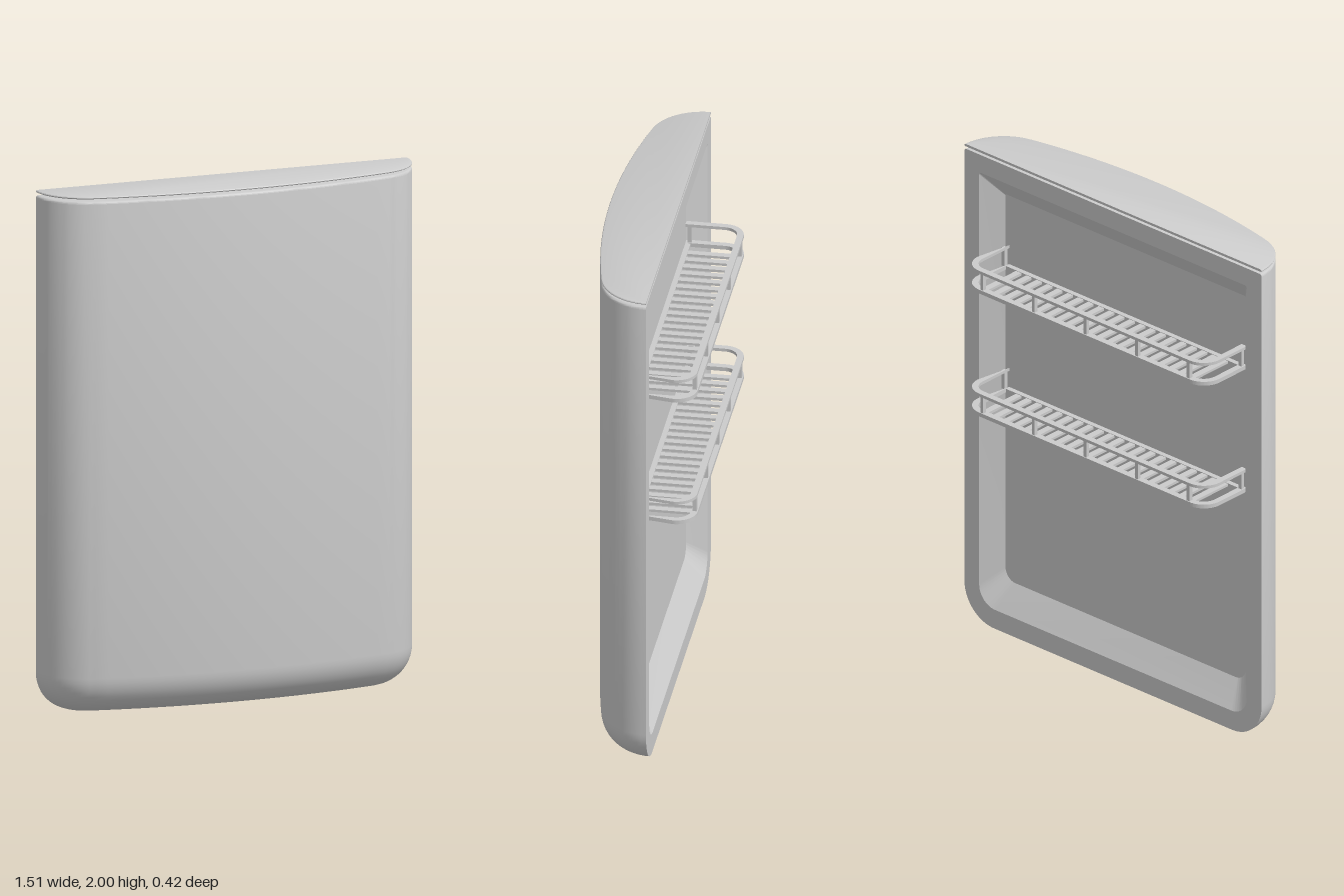
import * as THREE from 'three';
import { toCreasedNormals } from 'three/addons/utils/BufferGeometryUtils.js';

const BACK = -0.05, FLOOR = 0.02, HALF = 0.755;
const grey = new THREE.MeshStandardMaterial({ color: 0xcccccc });

function add(parent, geometry, name, x = 0, y = 0, z = 0) {
  const mesh = new THREE.Mesh(geometry, grey);
  mesh.name = name;
  mesh.position.set(x, y, z);
  parent.add(mesh);
  return mesh;
}

// Skin a list of equal-length point rows; optional closed rows and flat end caps
function loft(rows, closed, caps) {
  const n = rows[0].length, index = [];
  for (let j = 0; j < rows.length - 1; j++) {
    for (let i = 0; i < (closed ? n : n - 1); i++) {
      const a = j * n + i, b = j * n + (i + 1) % n;
      index.push(a, a + n, b, b, a + n, b + n);
    }
  }
  if (caps) {
    const top = (rows.length - 1) * n;
    for (let i = 1; i < n - 1; i++) index.push(0, i, i + 1, top, top + i + 1, top + i);
  }
  const geometry = new THREE.BufferGeometry().setFromPoints(rows.flat());
  geometry.setIndex(index);
  return toCreasedNormals(geometry, 0.5);
}

// Bowed plan outline at height y, inset by d: corner arc, wide front arc, corner arc
function section(y, d) {
  const bow = THREE.MathUtils.degToRad(12.2), R = 2.816, r = 0.2;
  const pts = [];
  const arc = (cx, cz, rad, from, to, steps) => {
    for (let i = 0; i <= steps; i++) {
      const t = from + (to - from) * i / steps;
      pts.push(new THREE.Vector3(cx + rad * Math.cos(t), y, cz + rad * Math.sin(t)));
    }
  };
  const q = Math.PI / 2;
  arc(HALF - r, BACK, r - d, 0, q - bow, 14);
  arc(0, 0.21 - R, R - d, q - bow, q + bow, 24);
  arc(r - HALF, BACK, r - d, q + bow, Math.PI, 14);
  return pts;
}

// Upright panel outline with its own bottom and top corner radii
function panel(x, y0, y1, rb, rt) {
  const s = new THREE.Shape(), q = Math.PI / 2;
  s.absarc(x - rb, y0 + rb, rb, -q, 0, false);
  s.absarc(x - rt, y1 - rt, rt, 0, q, false);
  s.absarc(rt - x, y1 - rt, rt, q, 2 * q, false);
  s.absarc(rb - x, y0 + rb, rb, 2 * q, 3 * q, false);
  s.closePath();
  return s;
}

function makeDoor() {
  const door = new THREE.Group();
  door.name = 'door';

  // Bowed shell with a large bottom fillet and a small top one
  const rows = [];
  for (let i = 0; i <= 12; i++) {
    const t = i / 12 * Math.PI / 2;
    rows.push(section(0.15 * (1 - Math.cos(t)), 0.15 * (1 - Math.sin(t))));
  }
  for (let i = 0; i <= 4; i++) {
    const t = i / 4 * Math.PI / 2;
    rows.push(section(1.97 + 0.01 * Math.sin(t), 0.01 * (1 - Math.cos(t))));
  }
  add(door, loft(rows, false, true), 'outerShell');

  // Back rim around the recess
  const opening = panel(0.68, 0.08, 1.905, 0.08, 0.01);
  const floor = panel(0.61, 0.18, 1.81, 0.05, 0.005);
  const rim = panel(HALF, 0, 1.98, 0.15, 0.01);
  rim.holes.push(opening);
  add(door, new THREE.ShapeGeometry(rim, 12), 'backRim', 0, 0, BACK).rotation.y = Math.PI;

  // Sloping recess walls and inner panel
  const ring = (shape, z) => shape.getPoints(12).map(p => new THREE.Vector3(p.x, p.y, z));
  add(door, loft([ring(opening, BACK), ring(floor, FLOOR)], true, false), 'recessWalls');
  add(door, new THREE.ShapeGeometry(floor, 12), 'innerPanel', 0, 0, FLOOR).rotation.y = Math.PI;

  // Thin cover plate just above the shell
  const lid = [[1.99, 0.005], [1.992, 0.001], [1.995, 0], [1.998, 0.002], [2, 0.007]];
  add(door, loft(lid.map(([y, d]) => section(y, d)), true, true), 'topPlate');
  return door;
}

// U-shaped flat rail whose top is at y = 0
function railGeometry(height) {
  const s = new THREE.Shape(), q = Math.PI / 2, cx = 0.535, cz = -0.13;
  s.moveTo(0.615, FLOOR);
  s.absarc(cx, cz, 0.08, 0, -q, true);
  s.absarc(-cx, cz, 0.08, -q, -2 * q, true);
  s.lineTo(-0.615, FLOOR);
  s.lineTo(-0.59, FLOOR);
  s.absarc(-cx, cz, 0.055, -2 * q, -q, false);
  s.absarc(cx, cz, 0.055, -q, 0, false);
  s.lineTo(0.59, FLOOR);
  s.closePath();
  const g = new THREE.ExtrudeGeometry(s, { depth: height, bevelEnabled: false, curveSegments: 10 });
  return toCreasedNormals(g.rotateX(q), 0.5);
}

function makeRack(y) {
  const rack = new THREE.Group();
  rack.name = 'rack';
  rack.position.y = y;
  add(rack, railGeometry(0.016), 'lowerRail', 0, 0.016);
  add(rack, railGeometry(0.012), 'upperRail', 0, 0.096);
  add(rack, new THREE.BoxGeometry(1.18, 0.014, 0.02), 'rearBar', 0, 0.008, 0.01);

  // Floor slats
  const slat = new THREE.BoxGeometry(0.027, 0.01, 0.215);
  for (let i = -10; i <= 10; i++) add(rack, slat, 'slat', i * 0.0525, 0.008, -0.0875);

  // Posts along the outer edge and at the wall ends
  const post = new THREE.BoxGeometry(0.014, 0.076, 0.016);
  for (let i = -2; i <= 2; i++) add(rack, post, 'post', i * 0.262, 0.05, -0.198);
  for (const side of [-1, 1]) add(rack, post, 'endPost', side * 0.602, 0.05, 0.005);
  return rack;
}

export function createModel() {
  const model = new THREE.Group();
  model.name = 'fridgeDoor';
  model.add(makeDoor(), makeRack(0.985), makeRack(1.505));
  return model;
}
